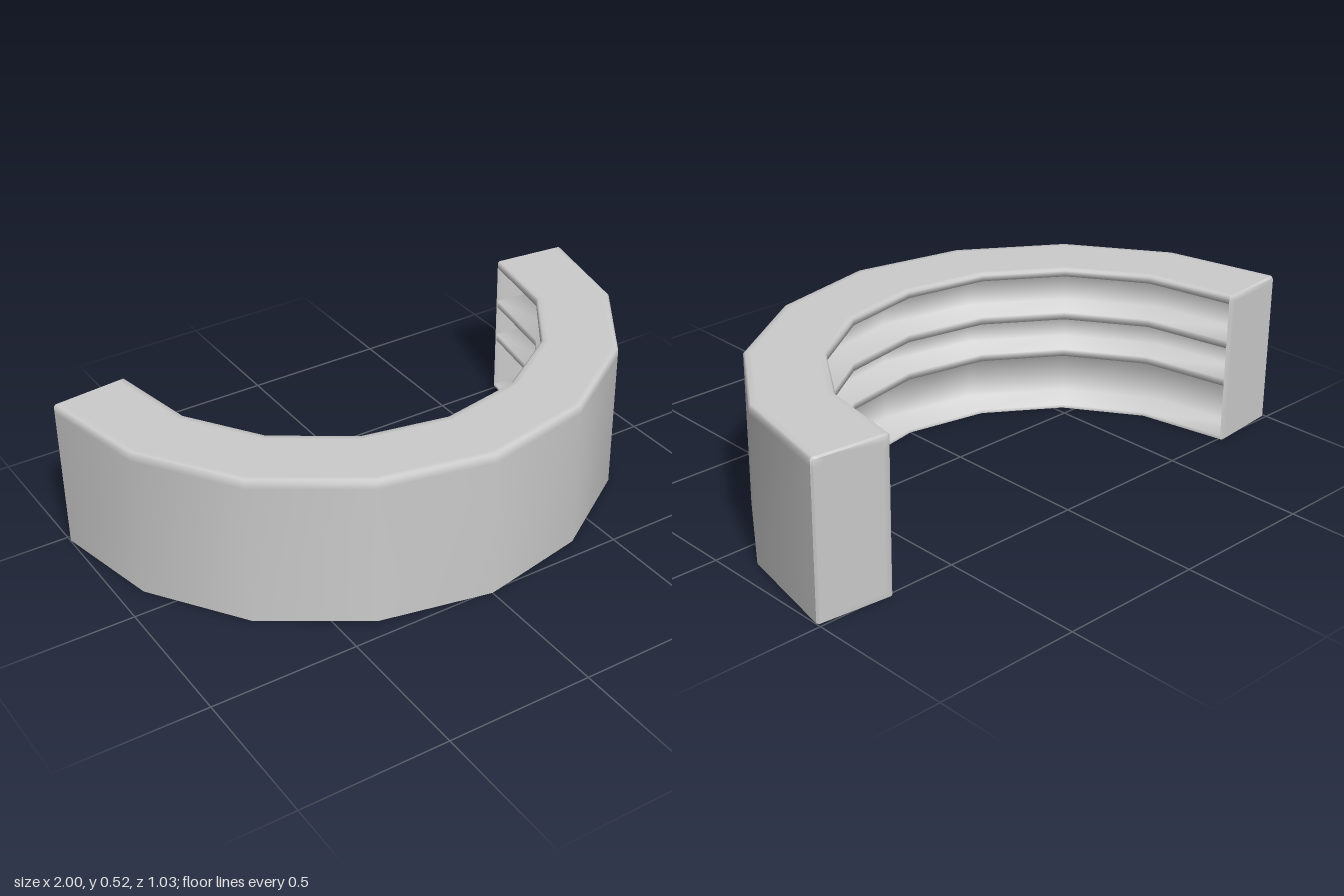
import * as THREE from 'three';
import { toCreasedNormals } from 'three/addons/utils/BufferGeometryUtils.js';

const H = 0.525;
// Plan outline [x, z] from the left end to the middle, mirrored to the right end
const mirror = (pts) => [...pts, ...pts.slice(0, -1).reverse().map(([x, z]) => [-x, z])];
const OUTER = mirror([[1, -0.487], [0.92, -0.1], [0.705, 0.218], [0.38, 0.433], [0, 0.513]]);
const INNER = mirror([[0.74, -0.513], [0.685, -0.205], [0.525, 0.035], [0.285, 0.195], [0, 0.25]]);
const LAST = OUTER.length - 1;

// Point on the plan: t runs along the curve (0..8), u from outer (0) to inner edge (1)
function planPoint(t, u) {
  const i = Math.min(Math.floor(t), LAST - 1);
  const f = t - i;
  const mix = (a, b, k) => a + (b - a) * k;
  const at = (c) => mix(mix(OUTER[i][c], INNER[i][c], u), mix(OUTER[i + 1][c], INNER[i + 1][c], u), f);
  return [at(0), at(1)];
}

// Join rings of counter-clockwise [u, y] points placed along the curve;
// rings at the very ends of the curve (t = 0 or LAST) are filled with a cap
function loft(name, rings, closed, crease, material) {
  const n = rings[0].section.length;
  const pos = [];
  const index = [];
  for (const { t, section } of rings) {
    for (const [u, y] of section) {
      const [x, z] = planPoint(t, u);
      pos.push(x, y, z);
    }
  }
  for (let s = 0; s < rings.length - 1; s++) {
    for (let k = 0; k < (closed ? n : n - 1); k++) {
      const a = s * n + k, b = s * n + (k + 1) % n;
      index.push(a, a + n, b + n, a, b + n, b);
    }
  }
  const last = (rings.length - 1) * n;
  const contour = rings[0].section.map(([u, y]) => new THREE.Vector2(u, y));
  for (const [a, b, c] of THREE.ShapeUtils.triangulateShape(contour, [])) {
    if (rings[0].t === 0) index.push(a, b, c);
    if (rings[rings.length - 1].t === LAST) index.push(last + a, last + c, last + b);
  }
  const geo = new THREE.BufferGeometry();
  geo.setAttribute('position', new THREE.Float32BufferAttribute(pos, 3));
  geo.setIndex(index);
  const mesh = new THREE.Mesh(toCreasedNormals(geo, crease), material);
  mesh.name = name;
  return mesh;
}

export function createModel() {
  const group = new THREE.Group();
  group.name = 'curvedCounter';
  const mat = new THREE.MeshStandardMaterial({ color: 0xcccccc, side: THREE.DoubleSide });
  const end = 0.02; // length of the softened rim at each end of the curve
  const back = 0.5; // how far out the shelf bays reach

  // Narrow softened edges of the top
  const topEdge = [[1, H - 0.006], [0.975, H], [0.9, H], [0.1, H], [0.025, H], [0, H - 0.006], [0, H - 0.03]];

  // Hollow body: shelf bays, top and front wall as one softly shaded sheet, open below
  const base = [[0.99, 0], [0.99, 0.012], [back, 0.012]];
  const shelves = [[0.2, 0.225], [0.338, 0.364]].flatMap(([low, high]) => [
    [back, low], [0.985, low], [0.985, high], [back, high],
  ]);
  const profile = [...base, ...shelves, [back, H - 0.026], [1, H - 0.026], ...topEdge, [0, 0]];
  const stations = [end, 1, 2, 3, 4, 5, 6, 7, LAST - end];
  group.add(loft('bodyWithShelves', stations.map((t) => ({ t, section: profile })), false, 1.7, mat));

  // Thin full-height end panels with softened rims
  const panel = [[0, 0], [1, 0], [1, H - 0.03], ...topEdge];
  const rim = panel.map(([u, y]) => [0.025 + 0.95 * u, y * 0.99]);
  const face = panel.map(([u, y]) => [0.1 + 0.8 * u, 0.02 + y * 0.92]);
  const leftRings = [{ t: 0, section: face }, { t: 0, section: rim }, { t: end, section: panel }];
  const rightRings = leftRings.map(({ t, section }) => ({ t: LAST - t, section })).reverse();
  group.add(loft('leftEndPanel', leftRings, true, 0.9, mat));
  group.add(loft('rightEndPanel', rightRings, true, 0.9, mat));
  return group;
}
